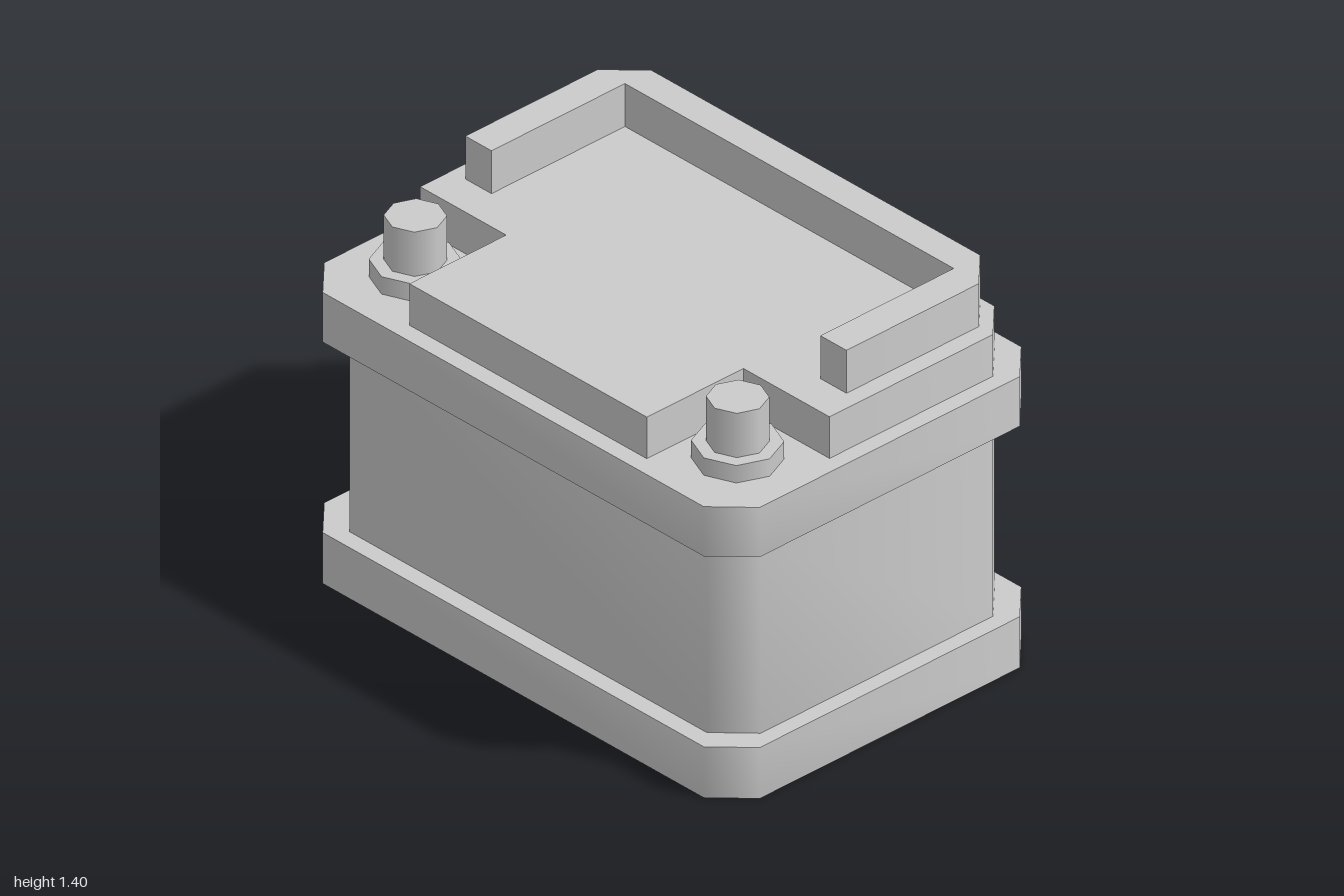
import * as THREE from 'three';
import { toCreasedNormals } from 'three/addons/utils/BufferGeometryUtils.js';

const material = new THREE.MeshStandardMaterial({ color: 0xcccccc });

// Upright slab from a plan outline of [x, z] points; 45 degree corners shade smoothly
function slab(name, outline, bottom, top) {
  const shape = new THREE.Shape(outline.map(([x, z]) => new THREE.Vector2(x, -z)));
  const geometry = new THREE.ExtrudeGeometry(shape, { depth: top - bottom, bevelEnabled: false });
  geometry.rotateX(-Math.PI / 2).translate(0, bottom, 0);
  const mesh = new THREE.Mesh(toCreasedNormals(geometry, THREE.MathUtils.degToRad(50)), material);
  mesh.name = name;
  return mesh;
}

// Rectangle with cut corners
function cutRect(w, d, c) {
  return [
    [w - c, d], [w, d - c], [w, c - d], [w - c, -d],
    [c - w, -d], [-w, c - d], [-w, d - c], [c - w, d],
  ];
}

// Completes the right-hand half of an outline with its mirror image
function mirrored(half) {
  return [...half, ...half.map(([x, z]) => [-x, z]).reverse()];
}

function octagonPost(name, radius, bottom, top) {
  const mesh = new THREE.Mesh(new THREE.CylinderGeometry(radius, radius, top - bottom, 8), material);
  mesh.position.y = (bottom + top) / 2;
  mesh.name = name;
  return mesh;
}

export function createModel() {
  const model = new THREE.Group();
  model.name = 'battery';

  // Case: wide foot, recessed body, overhanging lid
  model.add(slab('base', cutRect(1, 0.69, 0.125), 0, 0.19));
  model.add(slab('body', cutRect(0.94, 0.625, 0.12), 0.19, 0.9));
  model.add(slab('lid', cutRect(1, 0.69, 0.125), 0.9, 1.085));

  // Raised deck, notched at the front corners for the terminals
  const deck = mirrored([[0.545, 0.625], [0.545, 0.205], [0.94, 0.205], [0.94, -0.505], [0.82, -0.625]]);
  model.add(slab('deck', deck, 1.085, 1.24));

  // U-shaped rim around the back of the deck
  const rim = mirrored([[0.755, -0.51], [0.755, 0.07], [0.875, 0.07], [0.875, -0.505], [0.755, -0.625]]);
  model.add(slab('rim', rim, 1.24, 1.4));

  // Terminals
  for (const side of [1, -1]) {
    const terminal = new THREE.Group();
    terminal.name = side > 0 ? 'leftTerminal' : 'rightTerminal';
    terminal.add(octagonPost('terminalFlange', 0.147, 1.085, 1.15));
    terminal.add(octagonPost('terminalPost', 0.1, 1.15, 1.315));
    terminal.position.set(side * 0.74, 0, 0.415);
    model.add(terminal);
  }
  return model;
}
